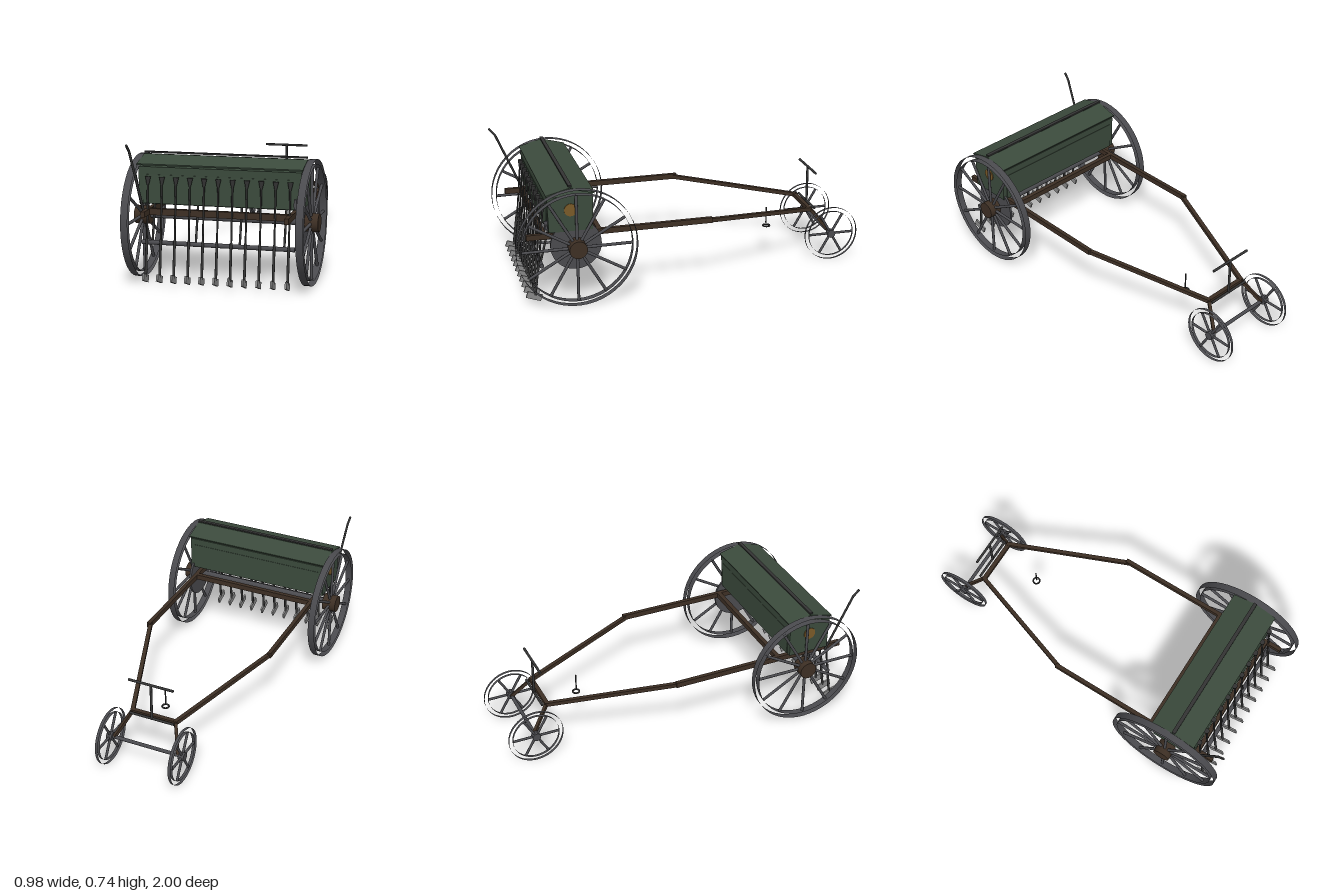
import * as THREE from 'three';

const mat = (color, side = THREE.FrontSide) => new THREE.MeshStandardMaterial({ color, side });
const GREEN = mat(0x3b4a3c), BROWN = mat(0x3d2f24), IRON = mat(0x4a4a4e), DARK = mat(0x333333);
const STEEL = mat(0x888888), BRASS = mat(0x7a5a28), RIM = mat(0x4a4a4e, THREE.DoubleSide);
const V = (x, y, z) => new THREE.Vector3(x, y, z);

export function createModel() {
  const root = new THREE.Group();

  const add = (parent, name, geo, material, x = 0, y = 0, z = 0) => {
    const m = new THREE.Mesh(geo, material);
    m.name = name;
    m.position.set(x, y, z);
    parent.add(m);
    return m;
  };
  const box = (name, w, h, d, material, x, y, z, parent = root) =>
    add(parent, name, new THREE.BoxGeometry(w, h, d), material, x, y, z);

  // round bar between two points
  const rod = (name, a, b, r, material, parent = root, rTop = r) => {
    const dir = b.clone().sub(a), mid = a.clone().add(b).multiplyScalar(0.5);
    const m = add(parent, name, new THREE.CylinderGeometry(rTop, r, dir.length(), 12), material, mid.x, mid.y, mid.z);
    m.quaternion.setFromUnitVectors(V(0, 1, 0), dir.normalize());
    return m;
  };
  // square timber between two points
  const beam = (name, a, b, w, h, material, parent = root) => {
    const mid = a.clone().add(b).multiplyScalar(0.5);
    const m = box(name, w, h, a.distanceTo(b), material, mid.x, mid.y, mid.z, parent);
    m.lookAt(b);
    return m;
  };
  // cylinder lying along x
  const disc = (name, r, width, material, x, y, z, parent = root, open = false) => {
    const geo = new THREE.CylinderGeometry(r, r, width, 48, 1, open).rotateZ(Math.PI / 2);
    return add(parent, name, geo, material, x, y, z);
  };

  // wheel: open rim bands, hub and spokes
  const wheel = (name, o) => {
    const g = new THREE.Group();
    g.name = name;
    g.position.set(o.x, o.r, o.z);
    disc('tire', o.r, o.width, RIM, 0, 0, 0, g, true);
    disc('innerRim', o.inner, o.width, RIM, 0, 0, 0, g, true);
    disc('hub', o.hubR, o.hubW, o.hubMat, 0, 0, 0, g);
    for (let i = 0; i < o.spokes; i++) {
      const a = (i / o.spokes) * Math.PI * 2;
      rod('spoke', V(0, 0, 0), V(0, Math.sin(a) * o.inner, Math.cos(a) * o.inner), o.spokeR, IRON, g);
    }
    root.add(g);
  };

  const WY = 0.324, WZ = 0.67, HZ = 0.697;
  for (const s of [-1, 1]) {
    wheel('mainWheel', { x: s * 0.449, z: WZ, r: WY, inner: 0.298, width: 0.038, hubR: 0.048, hubW: 0.08, hubMat: BROWN, spokes: 12, spokeR: 0.008 });
    wheel('leadWheel', { x: s * 0.212, z: -0.845, r: 0.155, inner: 0.132, width: 0.016, hubR: 0.023, hubW: 0.032, hubMat: IRON, spokes: 6, spokeR: 0.007 });
  }
  rod('mainAxle', V(-0.42, WY, WZ), V(0.42, WY, WZ), 0.017, IRON);
  rod('leadAxle', V(-0.21, 0.155, -0.845), V(0.21, 0.155, -0.845), 0.01, IRON);
  disc('driveGear', 0.137, 0.012, IRON, 0.413, 0.33, WZ);

  // hopper, slightly narrower at its foot
  const hopperGeo = new THREE.BoxGeometry(0.85, 0.193, 0.246);
  const p = hopperGeo.attributes.position;
  for (let i = 0; i < p.count; i++) if (p.getY(i) < 0) p.setZ(i, p.getZ(i) * 0.95);
  hopperGeo.computeVertexNormals();
  add(root, 'hopper', hopperGeo, GREEN, 0, 0.508, HZ);
  for (const s of [-1, 1]) {
    box('hopperPanel', 0.8, 0.15, 0.012, GREEN, 0, 0.49, HZ + s * 0.118);
    const lid = box('lid', 0.864, 0.008, 0.13, GREEN, 0, 0.632, HZ + s * 0.066);
    lid.rotation.x = s * 0.26;
    disc('endPlate', 0.034, 0.006, BRASS, s * 0.427, 0.53, HZ);
  }
  box('lidRidge', 0.86, 0.008, 0.02, DARK, 0, 0.662, HZ);
  box('latch', 0.012, 0.05, 0.02, IRON, 0.397, 0.445, 0.825);
  box('latchPin', 0.03, 0.02, 0.012, IRON, 0.402, 0.44, 0.825);

  // frame timbers and drawbars
  for (const s of [-1, 1]) {
    beam('sideBeam', V(s * 0.372, 0.376, 0.927), V(s * 0.372, 0.376, -0.088), 0.022, 0.03, BROWN);
    beam('drawBar', V(s * 0.37, 0.373, -0.07), V(s * 0.125, 0.281, -0.752), 0.022, 0.022, BROWN);
    beam('axleStrut', V(s * 0.128, 0.28, -0.75), V(s * 0.188, 0.157, -0.848), 0.017, 0.017, BROWN);
  }
  box('frontCrossBeam', 0.764, 0.034, 0.024, BROWN, 0, 0.376, 0.832);
  box('rearCrossBeam', 0.76, 0.03, 0.025, BROWN, 0, 0.376, 0.536);
  box('hitchBeam', 0.27, 0.022, 0.024, BROWN, 0, 0.28, -0.745);

  // steering post with T handle
  rod('steeringFoot', V(-0.13, 0.285, -0.773), V(0.13, 0.285, -0.773), 0.007, DARK);
  rod('steeringPost', V(0, 0.28, -0.773), V(0, 0.495, -0.773), 0.007, DARK);
  rod('steeringHandle', V(-0.13, 0.495, -0.773), V(0.13, 0.495, -0.773), 0.007, DARK);

  // hanging ring
  rod('hangerRod', V(0.055, 0.195, -0.508), V(0.055, 0.288, -0.508), 0.004, DARK);
  add(root, 'hangerRing', new THREE.TorusGeometry(0.019, 0.005, 8, 24).rotateX(Math.PI / 2), DARK, 0.055, 0.178, -0.51);

  // tool bar and its hangers
  rod('toolBar', V(-0.4, 0.219, 0.853), V(0.4, 0.219, 0.853), 0.012, IRON);
  for (const x of [-0.345, -0.115, 0.115, 0.345])
    rod('toolBarHanger', V(x, 0.42, 0.8), V(x, 0.22, 0.85), 0.006, DARK);

  // eleven seed tubes with funnels, shanks and shovels
  for (let i = -5; i <= 5; i++) {
    const g = new THREE.Group(), x = i * 0.0742;
    g.name = 'seedRow';
    g.position.x = x;
    rod('funnel', V(0, 0.515, 0.835), V(0, 0.556, 0.83), 0.006, DARK, g, 0.015);
    rod('seedTube', V(0, 0.52, 0.835), V(0, 0.19, 0.866), 0.005, DARK, g);
    rod('shank', V(0, 0.24, 0.864), V(0, 0.045, 0.89), 0.007, DARK, g);
    box('shovel', 0.01, 0.036, 0.083, STEEL, 0, 0.04, 0.895, g).rotation.x = -0.35;
    root.add(g);
  }

  // bent hand lever on the right side
  const path = new THREE.CurvePath();
  const pts = [V(-0.4, 0.37, 0.82), V(-0.424, 0.7, 0.962), V(-0.428, 0.738, 0.995)];
  for (let i = 0; i < 2; i++) {
    path.add(new THREE.LineCurve3(pts[i], pts[i + 1]));
    rod('lever', pts[i], pts[i + 1], 0.0065, DARK);
  }
  add(root, 'leverElbow', new THREE.SphereGeometry(0.0065, 10, 8), DARK, ...path.curves[0].v2.toArray());

  return root;
}
